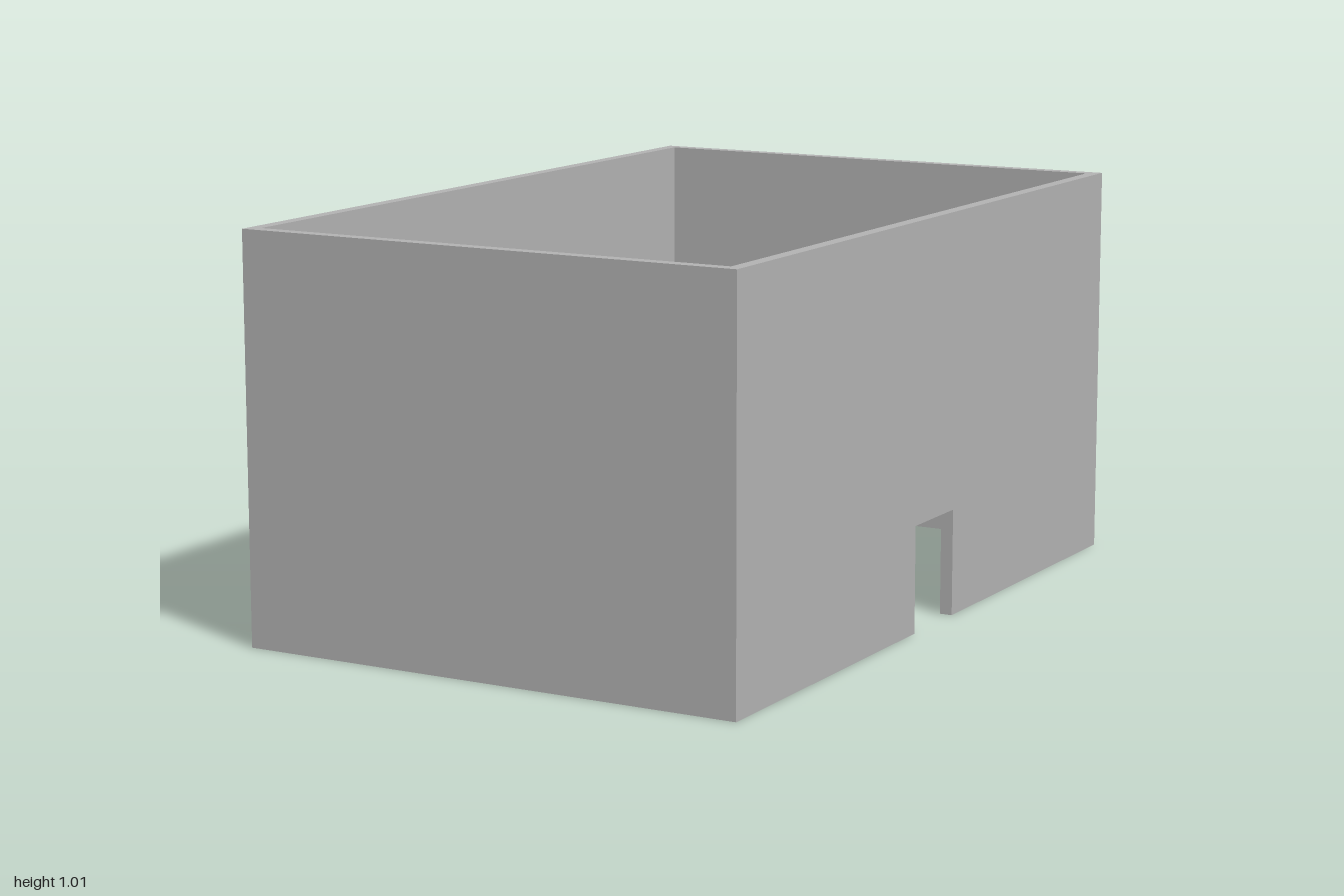
import * as THREE from 'three';

const W = 1.316, H = 1.006, D = 2, T = 0.032; // outer size and wall thickness
const DOOR_W = 0.21, DOOR_H = 0.267;

export function createModel() {
  const model = new THREE.Group();
  model.name = 'openRoom';
  const wallGrey = new THREE.MeshStandardMaterial({ color: 0xb2b2b2 });
  wallGrey.name = 'wallGrey';

  const add = (name, geometry, x, y, z) => {
    const mesh = new THREE.Mesh(geometry, wallGrey);
    mesh.name = name;
    mesh.position.set(x, y, z);
    model.add(mesh);
    return mesh;
  };

  // Full-width end walls
  for (const [name, s] of [['frontWall', 1], ['backWall', -1]]) {
    add(name, new THREE.BoxGeometry(W, H, T), 0, H / 2, s * (D - T) / 2);
  }

  // Plain side wall, fitted between the end walls
  const sideLength = D - 2 * T;
  add('rightWall', new THREE.BoxGeometry(T, H, sideLength), -(W - T) / 2, H / 2, 0);

  // Side wall with a doorway notch in its bottom edge
  const h = sideLength / 2, d = DOOR_W / 2;
  const outline = new THREE.Shape([
    [-h, 0], [-d, 0], [-d, DOOR_H], [d, DOOR_H], [d, 0], [h, 0], [h, H], [-h, H],
  ].map(([x, y]) => new THREE.Vector2(x, y)));
  const doorGeometry = new THREE.ExtrudeGeometry(outline, { depth: T, bevelEnabled: false });
  add('leftWallWithDoorway', doorGeometry, W / 2 - T, 0, 0).rotation.y = Math.PI / 2;

  return model;
}
